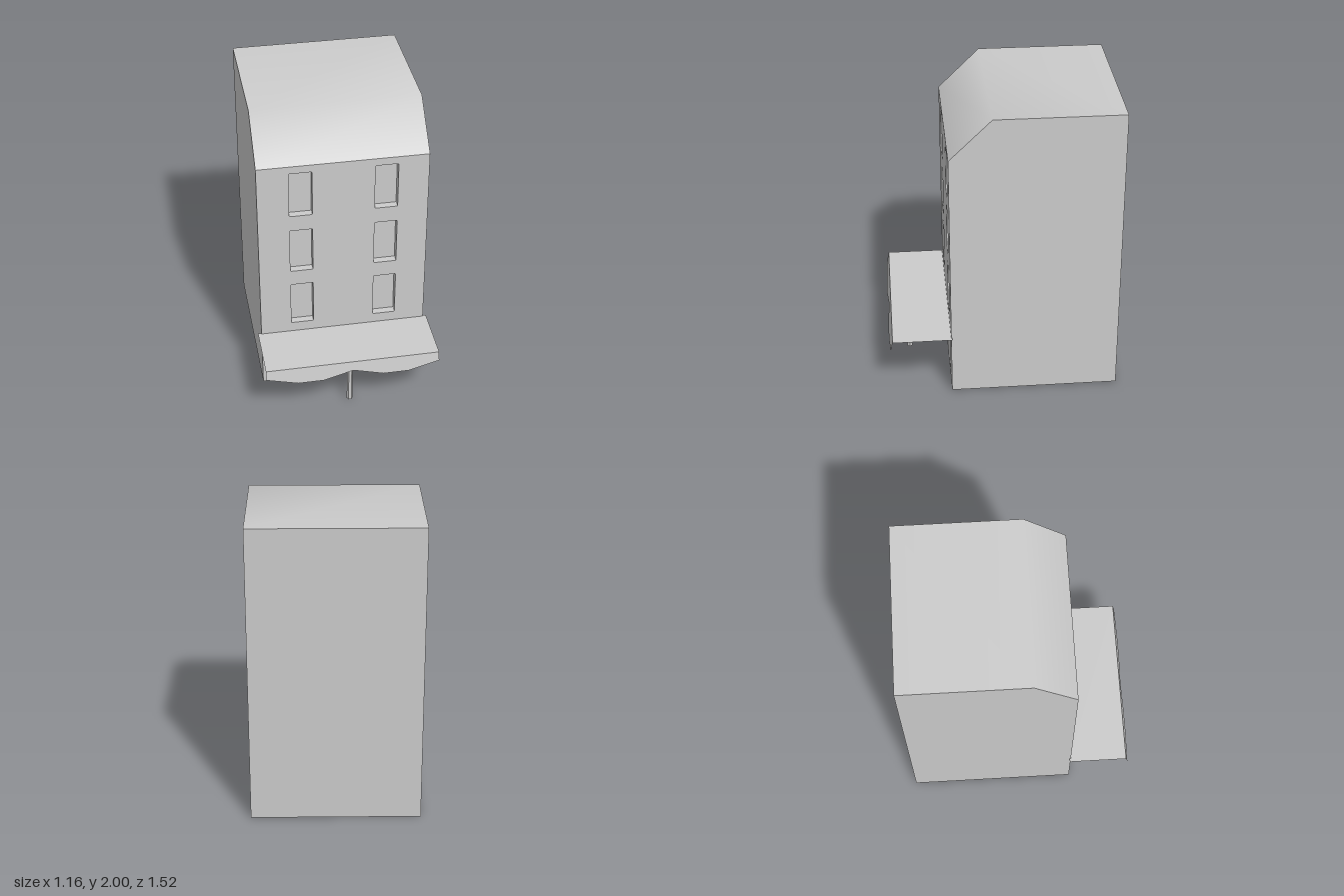
import * as THREE from 'three';

const W = 0.555, FRONT = 0.35, BACK = -0.76, EAVE = 1.73, TOP = 2, RIDGE_Z = 0.075;
const mat = new THREE.MeshStandardMaterial({ color: 0xcccccc });
const thin = new THREE.MeshStandardMaterial({ color: 0xcccccc, side: THREE.DoubleSide });

function add(parent, name, geometry, material = mat) {
  const mesh = new THREE.Mesh(geometry, material);
  mesh.name = name;
  parent.add(mesh);
  return mesh;
}

// Surface between two matching rows of points
function strip(a, b, smooth) {
  const geo = new THREE.BufferGeometry().setFromPoints([...a, ...b]);
  const n = a.length, index = [];
  for (let i = 0; i < n - 1; i++) index.push(i, i + 1, n + i, i + 1, n + i + 1, n + i);
  geo.setIndex(index);
  const result = smooth ? geo : geo.toNonIndexed();
  result.computeVertexNormals();
  return result;
}

// Rectangle with slightly softened corners
function opening(x0, x1, y0, y1, r = 0.007) {
  const s = new THREE.Shape();
  s.moveTo(x0 + r, y0);
  s.lineTo(x1 - r, y0);
  s.quadraticCurveTo(x1, y0, x1, y0 + r);
  s.lineTo(x1, y1 - r);
  s.quadraticCurveTo(x1, y1, x1 - r, y1);
  s.lineTo(x0 + r, y1);
  s.quadraticCurveTo(x0, y1, x0, y1 - r);
  s.lineTo(x0, y0 + r);
  s.quadraticCurveTo(x0, y0, x0 + r, y0);
  return s;
}

export function createModel() {
  const model = new THREE.Group();
  model.name = 'townhouse';
  const v = (x, y, z) => new THREE.Vector3(x, y, z);

  // Facade with recessed windows and an off-centre door
  const facade = new THREE.Shape([
    new THREE.Vector2(-W, 0), new THREE.Vector2(W, 0),
    new THREE.Vector2(W, EAVE), new THREE.Vector2(-W, EAVE),
  ]);
  function recess(name, x0, x1, y0, y1, depth) {
    const group = new THREE.Group();
    group.name = name;
    model.add(group);
    const shape = opening(x0, x1, y0, y1);
    facade.holes.push(shape);
    const pts = shape.getPoints(3);
    const ring = (z) => pts.map((p) => v(p.x, p.y, z));
    add(group, name + 'Reveal', strip(ring(FRONT), ring(FRONT - depth)), thin);
    add(group, name + 'Pane', new THREE.ShapeGeometry(shape, 3)).position.z = FRONT - depth;
  }
  for (const [y0, y1] of [[0.49, 0.81], [0.92, 1.243], [1.355, 1.678]]) {
    recess('rightWindow', -0.35, -0.2, y0, y1, 0.05);
    recess('leftWindow', 0.205, 0.355, y0, y1, 0.05);
  }
  recess('door', 0.21, 0.345, 0.015, 0.335, 0.1);
  add(model, 'facade', new THREE.ShapeGeometry(facade, 3)).position.z = FRONT;

  // Side walls
  const profile = [[BACK, 0], [FRONT, 0], [FRONT, EAVE], [RIDGE_Z, TOP], [BACK, TOP]];
  for (const s of [1, -1]) {
    const shape = new THREE.Shape(profile.map(([z, y]) => new THREE.Vector2(s * z, y)));
    const wall = add(model, s > 0 ? 'rightWall' : 'leftWall', new THREE.ShapeGeometry(shape));
    wall.rotation.y = -s * Math.PI / 2;
    wall.position.x = -s * W;
  }

  // Back wall and underside
  const back = add(model, 'backWall', new THREE.PlaneGeometry(2 * W, TOP));
  back.rotation.y = Math.PI;
  back.position.set(0, TOP / 2, BACK);
  const base = add(model, 'base', new THREE.PlaneGeometry(2 * W, FRONT - BACK));
  base.rotation.x = Math.PI / 2;
  base.position.z = (FRONT + BACK) / 2;

  // Roof: front slope blending smoothly into the flat top
  const roofRow = (x) => profile.slice(2).map(([z, y]) => v(x, y, z));
  add(model, 'roof', strip(roofRow(-W), roofRow(W), true).scale(1, 1, 1), thin);
  const roof = model.getObjectByName('roof');
  roof.geometry = strip(roofRow(W), roofRow(-W), true);
  roof.material = mat;

  // Awning: flat canopy and scalloped valance
  const A = 0.578, AY = 0.42, AZ = 0.737;
  const canopy = strip([v(-A, AY, AZ), v(A, AY, AZ)], [v(-A, AY, 0.342), v(A, AY, 0.342)]);
  add(model, 'awningCanopy', canopy, thin);
  const hem = [[-A, 0.358], [-0.37, 0.31], [-0.2, 0.31], [0, 0.358], [0.2, 0.31], [0.37, 0.31], [A, 0.358]];
  const lower = hem.map(([x, y]) => v(x, y, AZ + (AY - y) * 0.21));
  const upper = hem.map(([x]) => v(x, AY, AZ));
  add(model, 'awningValance', strip(lower, upper), thin);

  // Hexagonal awning post
  const postMat = new THREE.MeshStandardMaterial({ color: 0xcccccc, flatShading: true });
  const post = add(model, 'awningPost', new THREE.CylinderGeometry(0.02, 0.02, 0.415, 6), postMat);
  post.rotation.y = Math.PI / 6;
  post.position.set(0, 0.2075, 0.617);

  return model;
}
